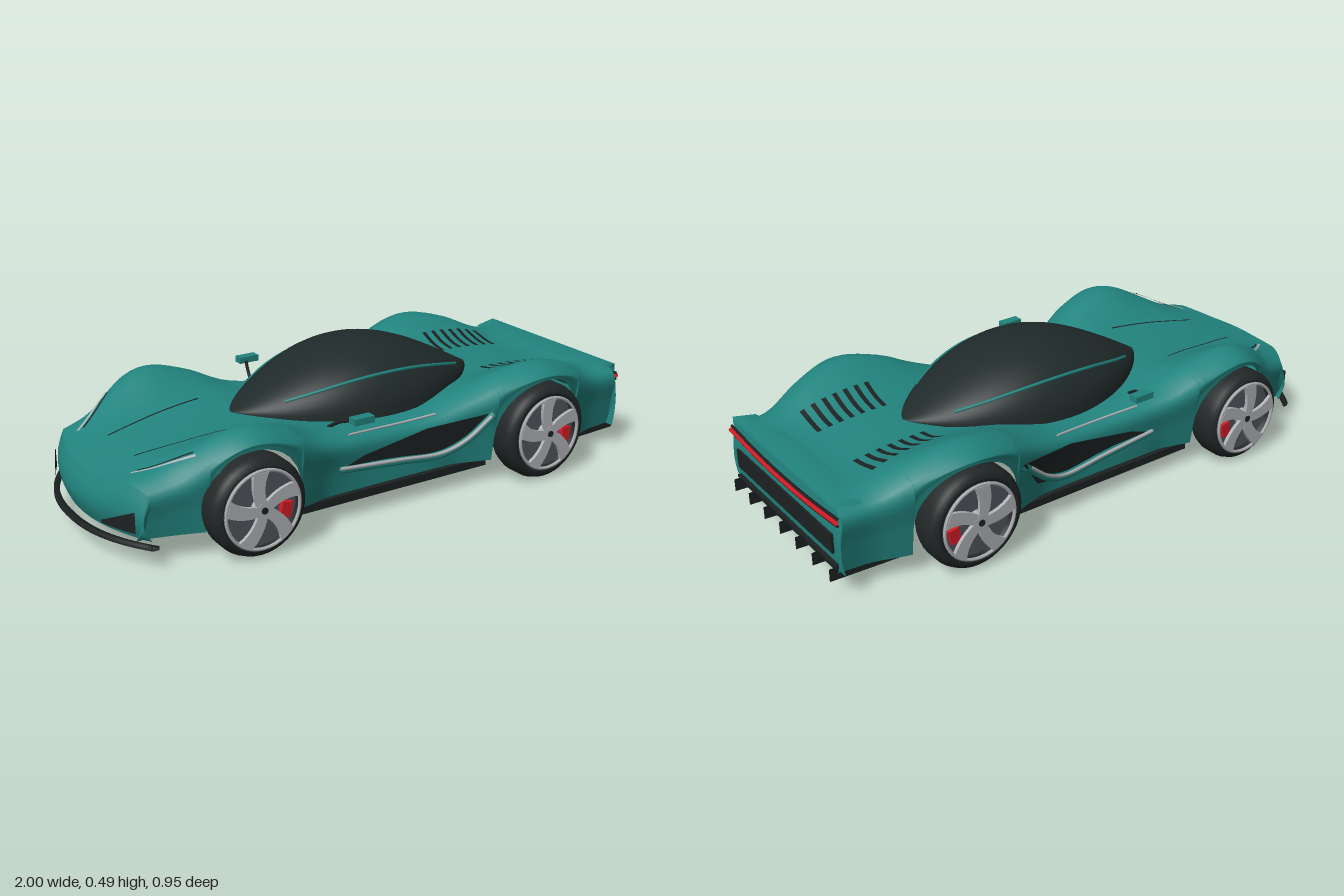
import * as THREE from 'three';

const V = (x, y, z) => new THREE.Vector3(x, y, z);
const mat = (name, color, side = THREE.DoubleSide) => {
  const m = new THREE.MeshStandardMaterial({ color, side });
  m.name = name;
  return m;
};

// Smooth function through [x, value] pairs
function profile(p) {
  const slope = i => {
    const a = p[Math.max(i - 1, 0)], b = p[Math.min(i + 1, p.length - 1)];
    return (b[1] - a[1]) / (b[0] - a[0]);
  };
  return x => {
    let i = 0;
    while (i < p.length - 2 && x > p[i + 1][0]) i++;
    const d = p[i + 1][0] - p[i][0];
    const t = THREE.MathUtils.clamp((x - p[i][0]) / d, 0, 1), t2 = t * t, t3 = t2 * t;
    return (2 * t3 - 3 * t2 + 1) * p[i][1] + (t3 - 2 * t2 + t) * d * slope(i)
      + (3 * t2 - 2 * t3) * p[i + 1][1] + (t3 - t2) * d * slope(i + 1);
  };
}

// Surface from a rule f(i, j) -> point
function grid(nu, nv, f) {
  const pos = [], idx = [], n = nv + 1;
  for (let i = 0; i <= nu; i++) for (let j = 0; j <= nv; j++) pos.push(...f(i, j).toArray());
  for (let i = 0; i < nu; i++) for (let j = 0; j < nv; j++) {
    const a = i * n + j;
    idx.push(a, a + n, a + 1, a + 1, a + n, a + n + 1);
  }
  const g = new THREE.BufferGeometry();
  g.setAttribute('position', new THREE.Float32BufferAttribute(pos, 3));
  g.setIndex(idx);
  g.computeVertexNormals();
  return g;
}

// Body lines along the length: half width, fender crest, centre height
const width = profile([[-0.955, 0.325], [-0.75, 0.378], [-0.56, 0.415], [-0.4, 0.4], [-0.2, 0.35], [0.05, 0.335],
  [0.25, 0.37], [0.4, 0.415], [0.56, 0.44], [0.75, 0.395], [0.86, 0.362], [0.965, 0.355]]);
const crest = profile([[-0.955, 0.255], [-0.85, 0.282], [-0.7, 0.345], [-0.56, 0.39], [-0.42, 0.36], [-0.28, 0.3],
  [-0.1, 0.278], [0.15, 0.282], [0.3, 0.325], [0.42, 0.375], [0.56, 0.4], [0.7, 0.37], [0.84, 0.312], [0.965, 0.304]]);
const centre = profile([[-0.955, 0.24], [-0.75, 0.275], [-0.42, 0.3], [-0.2, 0.285], [0.06, 0.278], [0.35, 0.295],
  [0.54, 0.31], [0.7, 0.303], [0.83, 0.29], [0.965, 0.3]]);
const floor = profile([[-0.955, 0.085], [-0.4, 0.085], [0.4, 0.085], [0.74, 0.075], [0.965, 0.08]]);
const wheels = [{ x: -0.56, r: 0.162, arch: 0.176 }, { x: 0.56, r: 0.17, arch: 0.184 }];
const SEG = 48;

// Body side: tucks in low down, with a straight lower edge between the wheels
function sideZ(x, y) {
  const s = THREE.MathUtils.clamp((y - 0.08) / (crest(x) - 0.115), 0, 1);
  const low = Math.max(width(x) - 0.028, Math.abs(x) < 0.4 ? 0.338 : 0);
  return THREE.MathUtils.lerp(low, width(x), Math.pow(s, 0.8));
}

// Rounds the nose in plan
const noseShift = (x, z) => 0.09 * (z / 0.33) ** 2 * THREE.MathUtils.smoothstep(-x, 0.6, 0.955);

function section(x) {
  let low = floor(x);
  for (const w of wheels) {
    const d = Math.abs(x - w.x);
    if (d < w.arch) low = w.r + Math.sqrt(w.arch ** 2 - d ** 2);
  }
  const W = width(x), F = crest(x), C = centre(x), S = F - 0.033, mid = (low + S) / 2;
  const half = [[sideZ(x, low), low], [sideZ(x, mid), mid], [W, S], [0.81 * W, F],
    [0.59 * W, C + 0.6 * (F - C)], [0.36 * W, C + 0.1 * (F - C)]];
  const pts = [...half, [0, C], ...half.map(([z, y]) => [-z, y]).reverse()].map(([z, y]) => V(0, y, z));
  const curve = new THREE.CatmullRomCurve3(pts);
  return Array.from({ length: SEG + 1 }, (_, j) => {
    const p = curve.getPoint(j / SEG);
    p.x = x + noseShift(x, p.z);
    return p;
  });
}

// Point just above the upper body
function deck(x, z, lift = 0.004) {
  const s = section(x - noseShift(x, z)), a = Math.abs(z);
  let j = 9;
  while (j < 23 && s[j + 1].z > a) j++;
  const t = THREE.MathUtils.clamp((s[j].z - a) / (s[j].z - s[j + 1].z), 0, 1);
  return V(x, THREE.MathUtils.lerp(s[j].y, s[j + 1].y, t) + lift, z);
}

export function createModel() {
  const car = new THREE.Group();
  const paint = mat('teal paint', 0x22847f), glass = mat('dark glass', 0x202a2a), trim = mat('black trim', 0x1c2121);
  const rubber = mat('rubber', 0x222727), alloy = mat('alloy', 0xb0b2b6), disc = mat('brake grey', 0x50545a);
  const red = mat('red', 0xd01c26);
  const add = (name, geo, m, parent = car) => {
    const mesh = new THREE.Mesh(geo, m);
    mesh.name = name;
    parent.add(mesh);
    return mesh;
  };
  const box = (name, w, h, d, x, y, z, m, parent) => {
    const b = add(name, new THREE.BoxGeometry(w, h, d), m, parent);
    b.position.set(x, y, z);
    return b;
  };
  const tube = (name, pts, r, m, parent) =>
    add(name, new THREE.TubeGeometry(new THREE.CatmullRomCurve3(pts.map(p => V(...p))), 32, r, 6), m, parent);
  const ribbon = (name, x0, z0, x1, z1, w, m) => {
    const l = Math.hypot(x1 - x0, z1 - z0), nx = -(z1 - z0) / l * w / 2, nz = (x1 - x0) / l * w / 2;
    add(name, grid(12, 2, (i, j) => deck(x0 + (x1 - x0) * i / 12 + nx * (j - 1), z0 + (z1 - z0) * i / 12 + nz * (j - 1))), m);
  };

  // Open body shell with stations doubled at the arch edges
  const xs = [];
  for (let i = 0; i <= 70; i++) xs.push(-0.955 + 1.92 * i / 70);
  for (const w of wheels) for (const s of [-1, 1]) for (const k of [1.0005, 0.9995, 0.985, 0.95, 0.9]) xs.push(w.x + s * w.arch * k);
  xs.sort((a, b) => a - b);
  const rings = xs.map(section);
  add('bodyShell', grid(xs.length - 1, SEG, (i, j) => rings[i][j]), paint);

  // Nose and tail faces
  const endFace = (name, ring, low, bulge) => add(name, grid(6, SEG, (i, j) => {
    const p = ring[j].clone(), t = i / 6;
    p.y = THREE.MathUtils.lerp(p.y, Math.min(low, p.y), t);
    p.x += bulge * Math.sin(Math.PI * t);
    return p;
  }), paint);
  endFace('noseFace', rings[0], 0.085, -0.024);
  endFace('tailFace', rings[rings.length - 1], 0.08, 0.01);

  // Raised tail lip, curved in plan
  add('tailLip', grid(16, 2, (i, j) => {
    const z = -0.345 + 0.69 * i / 16;
    return j ? V(0.97, j === 1 ? 0.313 : 0.285, z) : V(0.86 + 0.03 * (z / 0.345) ** 2, 0.297, z);
  }), paint);

  // Lens-shaped canopy
  const canopyPoint = (u, a) => {
    const x = 0.06 + 0.48 * u, k = Math.max(0, 1 - u * u), base = centre(x) + 0.003;
    return V(x, base + (0.487 - base) * Math.pow(k, 1.12) * Math.pow(Math.max(0, Math.sin(a)), 0.92),
      0.265 * Math.pow(k, 0.75) * Math.sign(Math.cos(a)) * Math.pow(Math.abs(Math.cos(a)), 0.92));
  };
  add('canopy', grid(48, 24, (i, j) => canopyPoint(-Math.cos(Math.PI * i / 48), Math.PI * j / 24)), glass);

  for (const s of [1, -1]) {
    // Canopy line
    const line = [];
    for (let i = 0; i <= 8; i++) {
      const p = canopyPoint(-0.72 + 1.46 * i / 8, 0.66);
      line.push([p.x, p.y, p.z * s]);
    }
    tube('canopyLine', line, 0.006, paint);
    // Rear deck vents, bonnet creases and headlights
    for (let i = 0; i < 7; i++) ribbon('deckVent', 0.54 + i * 0.04, s * 0.112, 0.54 + i * 0.04, s * 0.232, 0.016, trim);
    ribbon('bonnetCrease', -0.81, s * 0.1, -0.64, s * 0.13, 0.006, trim);
    ribbon('bonnetCrease', -0.64, s * 0.13, -0.46, s * 0.152, 0.006, trim);
    ribbon('headlight', -0.87, s * 0.205, -0.715, s * 0.33, 0.008, alloy);
    ribbon('headlightEdge', -0.85, s * 0.208, -0.715, s * 0.314, 0.006, trim);

    // Side parts, built on the left and mirrored
    const side = new THREE.Group();
    side.name = 'sideParts';
    side.scale.z = s;
    car.add(side);
    const scoop = new THREE.Shape([[-0.2, 0.18], [-0.125, 0.202], [0.125, 0.243], [0.355, 0.268], [0.275, 0.155], [0.17, 0.13], [0, 0.16]]
      .map(p => new THREE.Vector2(...p)));
    const scoopGeo = new THREE.ShapeGeometry(scoop), sp = scoopGeo.attributes.position;
    for (let i = 0; i < sp.count; i++) sp.setZ(i, sideZ(sp.getX(i), sp.getY(i)) + 0.007);
    scoopGeo.computeVertexNormals();
    add('sideScoop', scoopGeo, trim, side);
    tube('sideBlade', [[-0.22, 0.172, 0.345], [0, 0.156, 0.355], [0.17, 0.148, 0.37], [0.26, 0.185, 0.39], [0.355, 0.265, 0.413]], 0.013, paint, side);
    tube('bladeTrim', [[-0.22, 0.178, 0.354], [0, 0.164, 0.365], [0.17, 0.157, 0.38], [0.25, 0.19, 0.4], [0.34, 0.262, 0.419]], 0.006, alloy, side);
    tube('doorTopTrim', [-0.17, -0.06, 0.05, 0.17].map(x => [x, crest(x) - 0.006, width(x) - 0.02]), 0.004, alloy, side);
    box('sill', 0.75, 0.027, 0.035, 0, 0.071, 0.338, trim, side);
    // Mirror
    tube('mirrorArm', [[-0.2, 0.285, 0.25], [-0.185, 0.315, 0.3], [-0.16, 0.333, 0.36]], 0.006, trim, side);
    box('mirror', 0.075, 0.022, 0.035, -0.15, 0.338, 0.37, paint, side);
    // Nose intake: outer opening and inner back
    for (const inset of [0, 0.03]) add('noseIntake', grid(6, 2, (i, j) => {
      const t = i / 6, z = 0.18 + 0.13 * t;
      return V(-0.99 + inset + 0.09 * (z / 0.33) ** 2, 0.115 + (0.01 + 0.06 * t) * j / 2, z);
    }), trim, side);

    // Wheels
    for (const w of wheels) {
      const g = new THREE.Group(), R = w.r;
      g.name = 'wheel';
      g.position.set(w.x, R, w.x > 0 ? 0.403 : 0.396);
      side.add(g);
      const tyre = [[0, -0.045], [0.1, -0.045], [0.125, -0.058], [R - 0.024, -0.06], [R - 0.007, -0.047], [R, -0.025], [R, 0.025],
        [R - 0.007, 0.045], [R - 0.024, 0.057], [0.132, 0.054], [0.126, 0.02]].map(p => new THREE.Vector2(...p));
      add('tyre', new THREE.LatheGeometry(tyre, 40).rotateX(Math.PI / 2), rubber, g);
      add('brakeDisc', new THREE.CylinderGeometry(0.127, 0.127, 0.01, 32).rotateX(Math.PI / 2), disc, g).position.z = 0.03;
      add('rimRing', new THREE.TorusGeometry(0.127, 0.006, 6, 40), alloy, g).position.z = 0.06;
      add('hub', new THREE.CylinderGeometry(0.026, 0.03, 0.035, 16).rotateX(Math.PI / 2), alloy, g).position.z = 0.05;
      add('hubCap', new THREE.CylinderGeometry(0.011, 0.011, 0.004, 12).rotateX(Math.PI / 2), trim, g).position.z = 0.069;
      box('caliper', 0.036, 0.05, 0.02, 0.085, -0.022, 0.044, red, g).rotation.z = -0.2;
      // Swept blade spokes
      const spoke = new THREE.Shape();
      spoke.moveTo(-0.016, 0.008);
      spoke.quadraticCurveTo(-0.026, 0.07, 0.004, 0.126);
      spoke.lineTo(0.056, 0.113);
      spoke.quadraticCurveTo(0.014, 0.075, 0.016, 0.008);
      const spokeGeo = new THREE.ExtrudeGeometry(spoke, { depth: 0.012, bevelEnabled: false, curveSegments: 6 });
      for (let i = 0; i < 5; i++) {
        const m = add('spoke', spokeGeo, alloy, g);
        m.position.z = 0.055;
        m.rotation.z = i * Math.PI * 0.4 + 0.3;
      }
    }
  }

  // Front splitter
  add('frontSplitter', grid(32, 4, (i, j) => {
    const z = -0.36 + 0.72 * i / 32, k = j % 4;
    return V(-0.998 + 0.118 * (Math.abs(z) / 0.36) ** 2.3 + (k > 1 ? 0.02 : 0), k === 1 || k === 2 ? 0.084 : 0.071, z);
  }), trim);

  // Tail: light bar, panel and lower bar
  const bar = (dy, x) => [-0.35, -0.18, 0, 0.18, 0.35].map(z => [x, 0.247 + dy + 0.02 * (z / 0.35) ** 2, z]);
  tube('lightBar', bar(0, 0.979), 0.008, red);
  tube('lightTrim', bar(-0.012, 0.975), 0.005, trim);
  tube('lightTrim', bar(0.012, 0.974), 0.005, trim);
  box('tailPanel', 0.008, 0.065, 0.63, 0.978, 0.178, 0, trim);
  box('tailLowerBar', 0.02, 0.007, 0.66, 0.972, 0.105, 0, trim);

  // Diffuser with thin fins
  box('diffuserPlate', 0.21, 0.012, 0.64, 0.855, 0.061, 0, trim).rotation.z = 0.04;
  const fin = new THREE.Shape([[0.76, 0.046], [1, 0.056], [1, 0.1], [0.97, 0.1]].map(p => new THREE.Vector2(...p)));
  const finGeo = new THREE.ShapeGeometry(fin);
  for (let i = 0; i < 7; i++) add('diffuserFin', finGeo, trim).position.z = -0.32 + i * 0.1067;

  return car;
}
